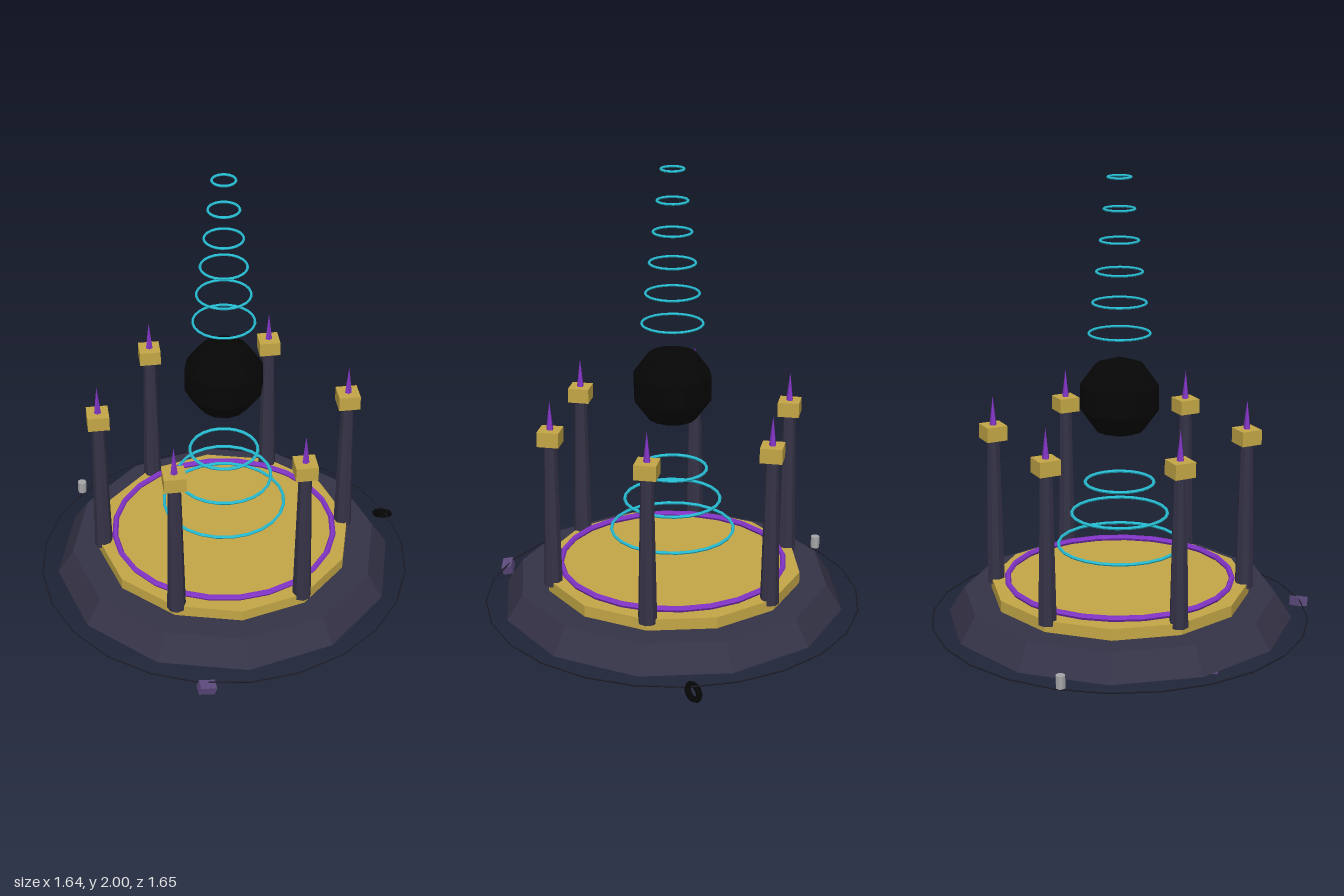
import * as THREE from 'three';

const flat = (name, color) => {
  const m = new THREE.MeshStandardMaterial({ color, flatShading: true });
  m.name = name;
  return m;
};

export function createModel() {
  const stone = flat('dark stone', 0x353347);
  const gold = flat('aged gold', 0xc4a747);
  const purple = flat('glowing purple', 0x8234c6);
  const teal = flat('bright teal', 0x26bcd2);
  const black = flat('void black', 0x060606);
  const ringDark = flat('orbit line', 0x1c1a26);
  const violet = flat('dusty violet', 0x5c4a7c);
  const grey = flat('grey metal', 0xa6a6aa);

  const model = new THREE.Group();
  const altar = new THREE.Group();
  altar.name = 'altar';
  altar.position.set(-0.005, 0, -0.005);
  model.add(altar);

  const add = (name, geo, mat, x = 0, y = 0, z = 0, parent = altar) => {
    const mesh = new THREE.Mesh(geo, mat);
    mesh.name = name;
    mesh.position.set(x, y, z);
    parent.add(mesh);
    return mesh;
  };
  // Six tube sides give every hoop a level top face
  const hoop = (name, r, tube, y, mat) => {
    const geo = new THREE.TorusGeometry(r, tube, 6, 24).rotateX(Math.PI / 2);
    return add(name, geo, mat, 0, y);
  };

  // Stepped platform
  add('base', new THREE.CylinderGeometry(0.675, 0.745, 0.11, 12), stone, 0, 0.145);
  add('platform', new THREE.CylinderGeometry(0.558, 0.558, 0.05, 12), gold, 0, 0.225);
  hoop('platformRing', 0.485, 0.013, 0.265, purple);
  hoop('orbitLine', 0.815, 0.003, 0.088, ringDark);

  // Six pillars with caps and spikes
  for (let i = 0; i < 6; i++) {
    const a = (i * Math.PI) / 3;
    const pillar = new THREE.Group();
    pillar.name = 'pillar' + (i + 1);
    pillar.position.set(0.537 * Math.cos(a), 0, 0.537 * Math.sin(a));
    altar.add(pillar);
    add('shaft', new THREE.CylinderGeometry(0.027, 0.04, 0.66, 8), stone, 0, 0.56, 0, pillar);
    add('cap', new THREE.BoxGeometry(0.092, 0.064, 0.092), gold, 0, 0.906, 0, pillar);
    add('spike', new THREE.ConeGeometry(0.02, 0.165, 5), purple, 0, 0.9825, 0, pillar);
  }

  // Floating orb
  add('orb', new THREE.SphereGeometry(0.175, 12, 5), black, 0, 1.068);

  // Energy hoops below and above the orb
  for (let i = 0; i < 3; i++) hoop('lowerHoop', 0.264 - i * 0.0585, 0.007, 0.415 + i * 0.139, teal);
  for (let i = 0; i < 6; i++) hoop('upperHoop', 0.129 - i * 0.0162, 0.0055, 1.343 + i * 0.1305, teal);

  // Thin rings and marks on the underside
  for (const r of [0.2, 0.38, 0.56]) {
    const geo = new THREE.RingGeometry(r - 0.006, r + 0.006, 32).rotateX(Math.PI / 2);
    add('undersideRing', geo, purple, 0, 0.086);
  }
  for (const [r, n] of [[0.3, 12], [0.47, 18], [0.64, 24]]) {
    for (let i = 0; i < n; i++) {
      const a = (i / n) * Math.PI * 2;
      const mark = add('undersideMark', new THREE.BoxGeometry(0.05, 0.008, 0.032), purple,
        r * Math.cos(a), 0.087, r * Math.sin(a));
      mark.rotation.y = -a + (i % 2) * Math.PI / 2;
    }
  }

  // Drifting fragments
  const ringGeo = new THREE.TorusGeometry(0.034, 0.013, 6, 12);
  const blockGeo = new THREE.BoxGeometry(0.07, 0.04, 0.045);
  const pegGeo = new THREE.CylinderGeometry(0.02, 0.02, 0.054, 8);
  const fragments = [
    ['looseRing', ringGeo, black, [0.775, 0.065, -0.24], [0.66, -0.2, 0]],
    ['looseRing', ringGeo, black, [-0.235, 0.046, 0.385], [2.47, 0.85, 0]],
    ['looseBlock', blockGeo, violet, [-0.19, 0.07, 0.795], [0.2, 0.1, -0.25]],
    ['looseBlock', blockGeo, violet, [-0.63, 0.068, 0.09], [0.1, 1.2, 0.1]],
    ['loosePeg', pegGeo, grey, [0.225, 0.055, -0.585], [0, 0, 0]],
    ['loosePeg', pegGeo, grey, [0.437, 0.078, 0], [0, 0.3, 0]],
    ['loosePeg', pegGeo, grey, [-0.6, 0.125, -0.565], [0, 0, 0]],
  ];
  for (const [name, geo, mat, p, r] of fragments) {
    add(name, geo, mat, ...p, model).rotation.set(...r);
  }
  return model;
}
